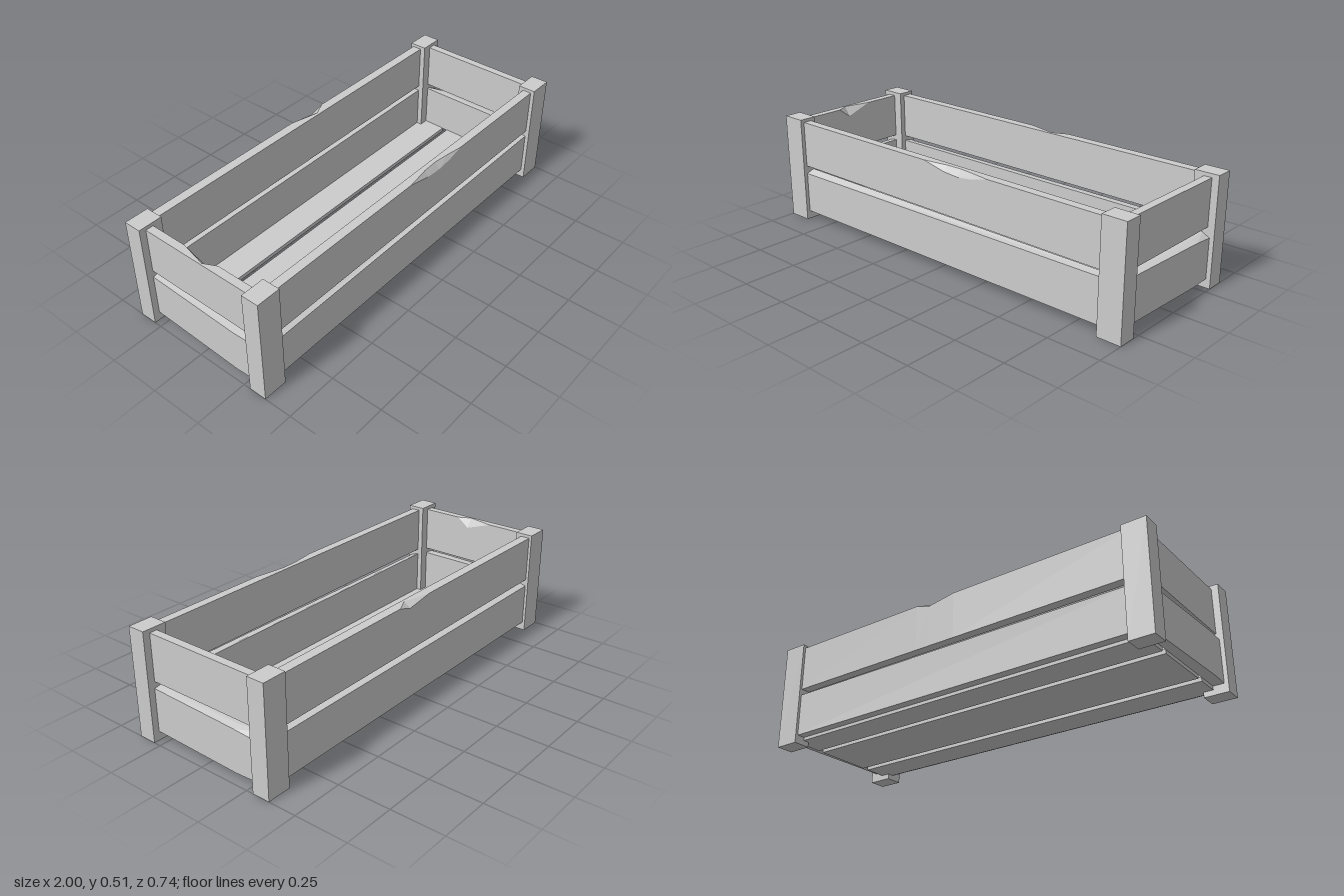
import * as THREE from 'three';

const material = new THREE.MeshStandardMaterial({ color: 0xcccccc, flatShading: true });

// Board along x between z0 and z1; each station is
// [x, chip width, chip drop, shift of the z1 face], the chip cutting the z1 top edge.
function board(name, stations, y0, y1, z0, z1, turn = 0) {
  const pos = [], index = [], n = 5;
  for (const [x, w = 0, h = 0, out = 0] of stations) {
    const zo = z1 + out;
    pos.push(x, y0, zo, x, y0, z0, x, y1, z0, x, y1, zo - w, x, y1 - h, zo);
  }
  const last = (stations.length - 1) * n;
  for (let r = 0; r < last; r += n) {
    for (let j = 0; j < n; j++) {
      const k = (j + 1) % n;
      index.push(r + j, r + k, r + n + j, r + k, r + n + k, r + n + j);
    }
  }
  for (let j = 1; j < n - 1; j++) {
    index.push(0, j + 1, j, last, last + j, last + j + 1);
  }
  const indexed = new THREE.BufferGeometry();
  indexed.setAttribute('position', new THREE.Float32BufferAttribute(pos, 3));
  indexed.setIndex(index);
  const geometry = indexed.toNonIndexed();
  geometry.computeVertexNormals();
  const mesh = new THREE.Mesh(geometry, material);
  mesh.name = name;
  mesh.rotation.y = turn;
  return mesh;
}

function box(name, w, h, d, x, y, z) {
  const mesh = new THREE.Mesh(new THREE.BoxGeometry(w, h, d), material);
  mesh.name = name;
  mesh.position.set(x, y, z);
  return mesh;
}

export function createModel() {
  const crate = new THREE.Group();
  crate.name = 'crate';

  // Corner posts
  for (const sx of [-1, 1]) {
    for (const sz of [-1, 1]) {
      crate.add(box('cornerPost', 0.115, 0.512, 0.084, sx * 0.9425, 0.256, sz * 0.326));
    }
  }

  // Floor slats
  for (const [z0, z1] of [[-0.315, -0.172], [-0.145, 0.143], [0.174, 0.315]]) {
    crate.add(box('floorSlat', 1.86, 0.02, z1 - z0, 0, 0.035, (z0 + z1) / 2));
  }

  // Long sides, with worn chips in the upper boards
  const L = 0.93;
  crate.add(
    board('frontLowerBoard', [[-L, 0.035, 0.014], [L, 0.035, 0.003]], 0.04, 0.25, 0.308, 0.35),
    board('frontUpperBoard',
      [[-L], [-0.06], [0.06, 0.018, 0.026], [0.14, 0.021, 0.032], [0.22, 0.012, 0.022], [0.3]],
      0.276, 0.497, 0.308, 0.35),
    board('frontUpperBoardEnd', [[0.3], [L]], 0.276, 0.497, 0.308, 0.35),
    board('backLowerBoard', [[-L, 0.03, 0.004], [L, 0.03, 0.008]], 0.04, 0.25, 0.31, 0.355, Math.PI),
    board('backUpperBoard', [[-L], [-0.17], [-0.1, 0.033, 0.022], [0.04], [L]],
      0.276, 0.497, 0.31, 0.355, Math.PI),
  );

  // Short ends, slightly warped; the left upper board is chipped on its inner edge
  const E = 0.3, turn = Math.PI / 2;
  crate.add(
    board('rightLowerBoard', [[-E, 0.03, 0.005], [0.18, 0.03, 0.008, 0.014], [E, 0.04, 0.022, 0.008]],
      0.042, 0.25, 0.93, 0.97, turn),
    board('rightUpperBoard', [[-E], [E]], 0.276, 0.495, 0.93, 0.967, turn),
    board('leftLowerBoard', [[-E, 0.03, 0.006], [0.2, 0.03, 0.004, 0.014], [E, 0.03, 0.004, 0.01]],
      0.042, 0.25, 0.93, 0.97, -turn),
    board('leftUpperBoard', [[-E], [-0.09], [-0.03, 0.03, 0.045], [0.1], [E]],
      0.276, 0.495, -0.968, -0.93, turn),
  );
  return crate;
}
